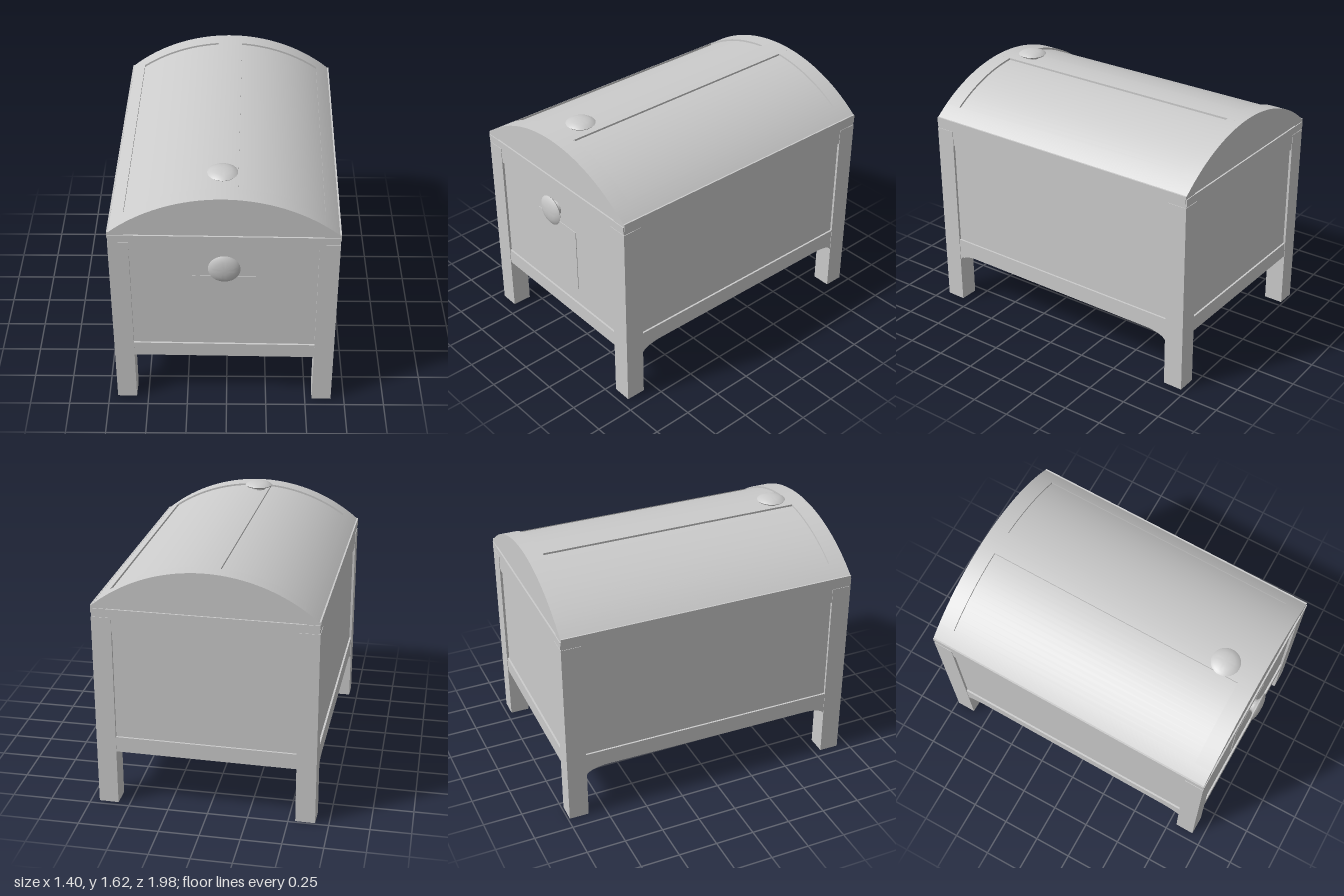
import * as THREE from 'three';
import { toCreasedNormals } from 'three/addons/utils/BufferGeometryUtils.js';

const W = 0.678, D = 0.955;          // half width and half depth of the chest
const EAVE = 1.32, TOP = 1.57;       // height of the roof edge and of the ridge
const R = (W * W + (TOP - EAVE) ** 2) / (2 * (TOP - EAVE));
const CY = TOP - R;                  // centre height of the roof arc
const INSET = 0.012;                 // how far the panels lie behind the frames

const mat = new THREE.MeshStandardMaterial({ color: 0xcccccc });

function add(parent, name, geo, x = 0, y = 0, z = 0) {
  const mesh = new THREE.Mesh(geo, mat);
  mesh.name = name;
  mesh.position.set(x, y, z);
  parent.add(mesh);
  return mesh;
}

function box(parent, name, x0, x1, y0, y1, z0, z1) {
  return add(parent, name, new THREE.BoxGeometry(x1 - x0, y1 - y0, z1 - z0),
    (x0 + x1) / 2, (y0 + y1) / 2, (z0 + z1) / 2);
}

// Points on a roof arc of radius r, from x0 to x1
function arcPoints(x0, x1, r, n = 40) {
  const a0 = Math.asin(x0 / r), a1 = Math.asin(x1 / r);
  return Array.from({ length: n + 1 }, (_, i) => {
    const a = a0 + (a1 - a0) * i / n;
    return new THREE.Vector2(Math.sin(a) * r, CY + Math.cos(a) * r);
  });
}

function extrude(shape, z0, z1) {
  const geo = new THREE.ExtrudeGeometry(shape, { depth: z1 - z0, bevelEnabled: false, curveSegments: 12 });
  return toCreasedNormals(geo.translate(0, 0, z0), 0.5);
}

// Straight walls with an arched top
function archShape(half, bottom, r) {
  return new THREE.Shape([new THREE.Vector2(-half, bottom), ...arcPoints(-half, half, r), new THREE.Vector2(half, bottom)]);
}

function rectHole(x, y0, y1) {
  return new THREE.Path([[-x, y0], [x, y0], [x, y1], [-x, y1]].map(p => new THREE.Vector2(...p)));
}

// Raised curved strip lying on the roof
function roofStrip(parent, name, x0, x1, z0, z1) {
  const pts = [...arcPoints(x0, x1, R), ...arcPoints(x0, x1, R - 0.03).reverse()];
  add(parent, name, extrude(new THREE.Shape(pts), z0, z1));
}

// Mushroom-shaped knob standing along +y
function knobGeometry(r) {
  const profile = [[0.045, -0.01], [0.042, 0.012], [0.055, 0.022], [r - 0.008, 0.027], [r, 0.035],
    [r - 0.012, 0.044], [r * 0.6, 0.053], [r * 0.3, 0.057], [0, 0.058]];
  return toCreasedNormals(new THREE.LatheGeometry(profile.map(p => new THREE.Vector2(...p)), 40), 0.7);
}

export function createModel() {
  const model = new THREE.Group();
  model.name = 'domedChest';
  const chest = new THREE.Group();
  chest.name = 'chest';
  chest.position.z = -0.02;
  chest.rotation.y = -0.016;         // the chest stands slightly askew
  model.add(chest);

  // Inner body carrying all recessed panels
  add(chest, 'panelBody', extrude(archShape(W - INSET, 0.4, R - INSET), -D + INSET, D - INSET));

  // Floor, with a drooping lip at the front and back
  const half = [[0.92, 0.42], [0.92, 0.362], [0.875, 0.35], [0.865, 0.312], [0.82, 0.312], [0.78, 0.335], [0.7, 0.357]];
  const floorPts = [...half, ...half.map(([z, y]) => [-z, y]).reverse()].map(p => new THREE.Vector2(...p));
  add(chest, 'floor', extrude(new THREE.Shape(floorPts), -W + 0.02, W - 0.02).rotateY(Math.PI / 2));

  // End frames: one opening for the panel and one under the arch
  const endShape = archShape(W, 0.36, R - 0.004);
  const archHole = new THREE.Path(arcPoints(-0.585, 0.585, R - 0.045));
  archHole.lineTo(0.585, 1.305);
  archHole.lineTo(-0.585, 1.305);
  endShape.holes.push(rectHole(0.56, 0.46, 1.15), archHole);
  add(chest, 'frontFrame', extrude(endShape, D - 0.03, D));
  add(chest, 'backFrame', extrude(endShape, -D, -D + 0.03));

  // Side frames with curved brackets beside the legs
  const side = new THREE.Shape();
  side.moveTo(-D, EAVE);
  side.lineTo(-D, 0.3);
  side.lineTo(-0.835, 0.3);
  side.quadraticCurveTo(-0.82, 0.345, -0.7, 0.352);
  side.lineTo(0.7, 0.352);
  side.quadraticCurveTo(0.82, 0.345, 0.835, 0.3);
  side.lineTo(D, 0.3);
  side.lineTo(D, EAVE);
  side.holes.push(rectHole(0.85, 0.46, 1.155));
  const sideGeo = extrude(side, -0.015, 0.015).rotateY(Math.PI / 2);

  for (const s of [-1, 1]) {
    const sideName = s > 0 ? 'left' : 'right';
    add(chest, sideName + 'SideFrame', sideGeo, s * (W - 0.015));

    // Ledge under the roof edge, and the leg posts
    box(chest, sideName + 'EaveLedge', s * W - 0.005, s * W + 0.005, 1.278, 1.325, -D, D);
    for (const t of [-1, 1]) {
      const post = add(chest, (t > 0 ? 'front' : 'back') + (s > 0 ? 'Left' : 'Right') + 'Leg',
        new THREE.BoxGeometry(0.122, 1.25, 0.126));
      post.position.set(s * (W - 0.058), 0.625, t * (D - 0.06));
    }

    // Roof border along the long edge
    roofStrip(chest, sideName + 'RoofBorder', s > 0 ? 0.59 : -W, s > 0 ? W : -0.59, -D, D);
  }

  // Ledges across the ends
  for (const t of [-1, 1]) {
    box(chest, t > 0 ? 'frontLedge' : 'backLedge', -W, W, 1.258, 1.305, t * D - 0.005, t * D + 0.005);
  }

  // Remaining roof framing
  roofStrip(chest, 'roofCentreStrap', -0.08, 0.08, -D, D);
  roofStrip(chest, 'frontRoofBorder', -0.6, 0.6, 0.845, D);
  roofStrip(chest, 'backRoofBorder', -0.6, 0.6, -D, -0.85);

  // Thin plate on the front panel
  box(chest, 'frontPlate', -0.19, 0.19, 0.57, 1.0, D - 0.02, D - INSET + 0.004);

  // Knobs on the roof and on the front
  add(chest, 'roofKnob', knobGeometry(0.09), -0.012, TOP - 0.005, 0.725);
  const frontKnob = add(chest, 'frontKnob', knobGeometry(0.096), 0.003, 1.09, D);
  frontKnob.rotation.x = Math.PI / 2;

  return model;
}
